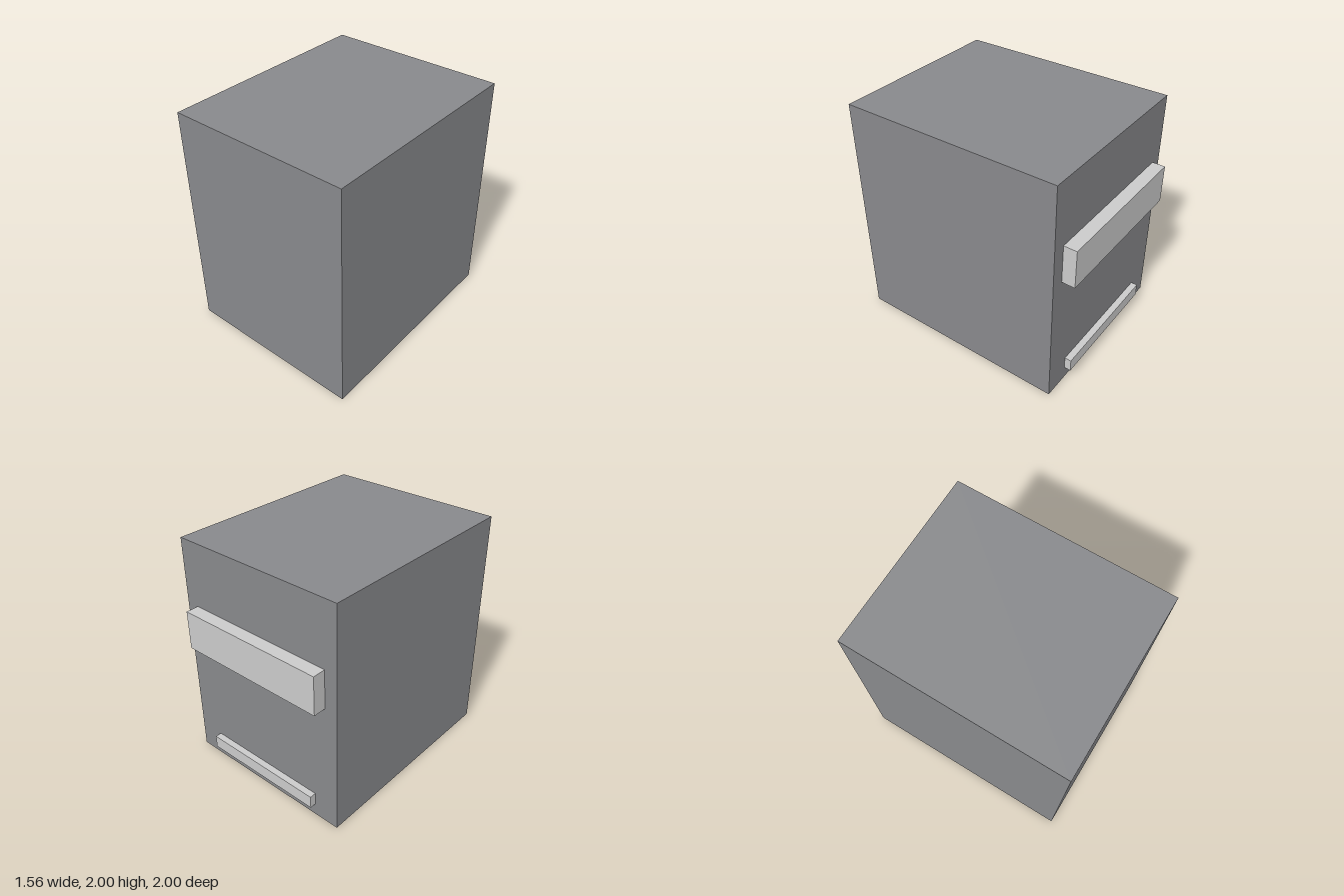
import * as THREE from 'three';

const U = 1 / 9; // design unit: the body is 18 units tall

export function createModel() {
  const model = new THREE.Group();
  model.name = 'cabinet';
  const bodyMaterial = new THREE.MeshStandardMaterial({ color: 0x88898c });
  const barMaterial = new THREE.MeshStandardMaterial({ color: 0xcccccc });

  // Box given by its size, bottom height and front z, all in units
  function addBox(name, width, height, depth, bottom, front, material) {
    const mesh = new THREE.Mesh(
      new THREE.BoxGeometry(width * U, height * U, depth * U), material);
    mesh.name = name;
    mesh.position.set(0, (bottom + height / 2) * U, (front - depth / 2) * U);
    model.add(mesh);
  }

  // Main body
  addBox('body', 14, 18, 17, 0, 9, bodyMaterial);

  // Raised bars on the back
  addBox('upperBackBar', 12, 3, 1, 10, -8, barMaterial);
  addBox('lowerBackBar', 10, 1, 0.5, 1, -8, barMaterial);

  return model;
}
